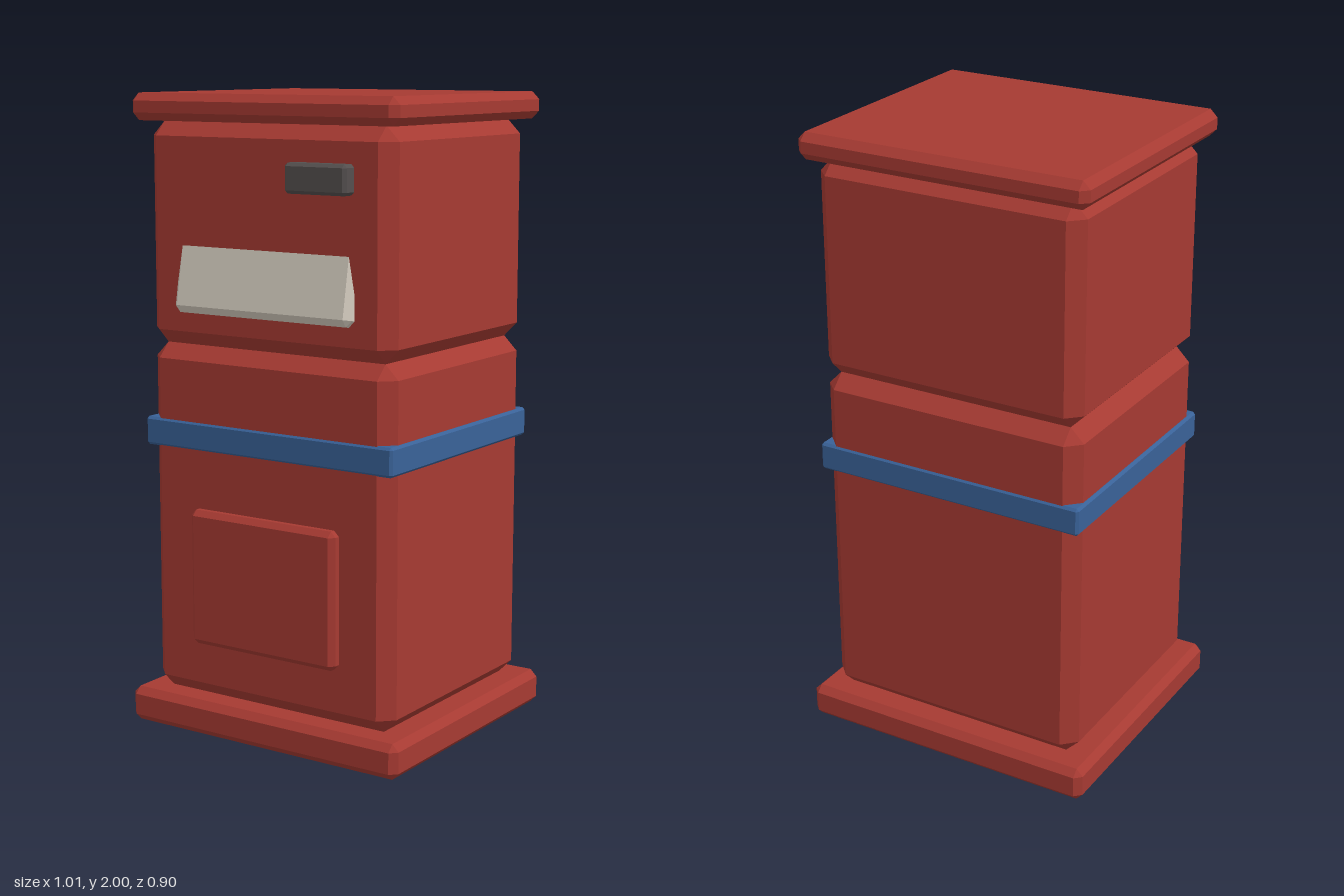
import * as THREE from 'three';
import { ConvexGeometry } from 'three/addons/geometries/ConvexGeometry.js';

const material = (name, color) => {
  const m = new THREE.MeshStandardMaterial({ color });
  m.name = name;
  return m;
};

// Box with all edges chamfered by c, centred on its own origin
function chamferBox(w, h, d, c) {
  const points = [];
  for (const sx of [-1, 1]) for (const sy of [-1, 1]) for (const sz of [-1, 1]) {
    const x = w / 2, y = h / 2, z = d / 2;
    points.push(
      new THREE.Vector3(sx * x, sy * (y - c), sz * (z - c)),
      new THREE.Vector3(sx * (x - c), sy * y, sz * (z - c)),
      new THREE.Vector3(sx * (x - c), sy * (y - c), sz * z)
    );
  }
  return new ConvexGeometry(points);
}

export function createModel() {
  const red = material('red paint', 0xa63a32);
  const blue = material('blue paint', 0x396298);
  const cream = material('pale metal', 0xd5cdc0);
  const dark = material('dark slot', 0x544f4e);

  const model = new THREE.Group();
  model.name = 'pillarBox';

  // Chamfered block given by its extents
  function block(name, mat, [x0, x1], [y0, y1], [z0, z1], c) {
    const mesh = new THREE.Mesh(chamferBox(x1 - x0, y1 - y0, z1 - z0, c), mat);
    mesh.position.set((x0 + x1) / 2, (y0 + y1) / 2, (z0 + z1) / 2);
    mesh.name = name;
    model.add(mesh);
    return mesh;
  }
  const both = (r) => [-r, r];

  // Stacked housing
  block('base', red, both(0.503), [0, 0.111], both(0.449), 0.022);
  block('lowerBody', red, both(0.448), [0.111, 1.23], both(0.397), 0.045);
  block('upperBody', red, both(0.448), [1.23, 1.916], both(0.397), 0.045);
  block('lid', red, both(0.484), [1.916, 2], both(0.431), 0.024);
  block('band', blue, both(0.458), [0.905, 0.995], both(0.403), 0.008);

  // Front fittings
  block('accessDoor', red, both(0.27), [0.291, 0.722], [0.36, 0.431], 0.017);
  block('slot', dark, [0.106, 0.323], [1.717, 1.807], [0.36, 0.444], 0.01);

  // Delivery flap, leaning out of the wall at its lower edge
  const flap = block('flap', cream, both(0.325), [1.333, 1.633], [0.347, 0.407], 0.02);
  flap.rotation.x = -0.18;

  return model;
}
